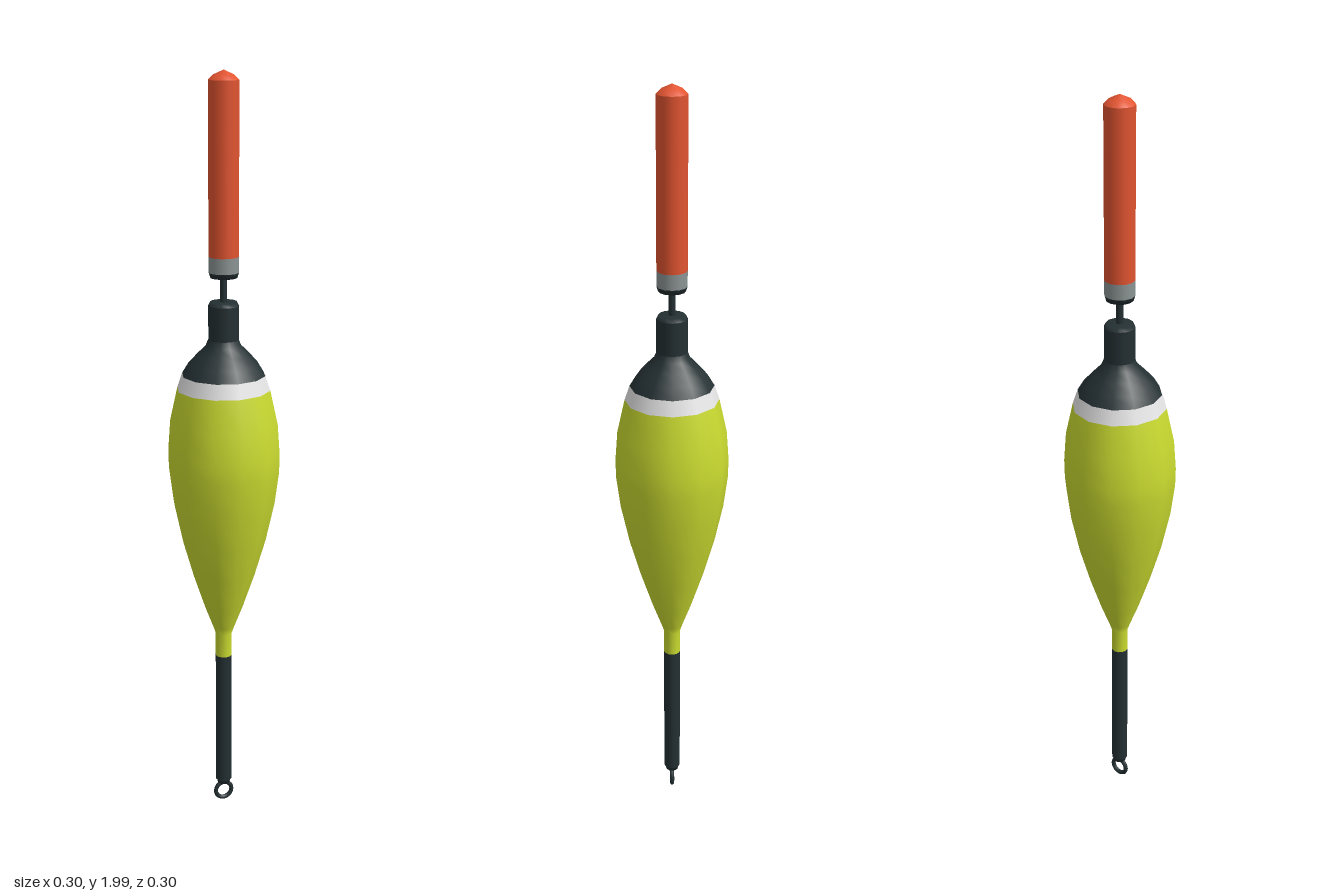
import * as THREE from 'three';

const SIDES = 12;

export function createModel() {
  const group = new THREE.Group();
  group.name = 'fishingFloat';

  const paint = (name, color) => {
    const m = new THREE.MeshStandardMaterial({ color });
    m.name = name;
    return m;
  };
  const yellow = paint('yellow', 0xcbdc30);
  const black = paint('charcoal', 0x243033);
  const white = paint('white', 0xe6e6e6);
  const grey = paint('grey', 0x8c9494);
  const orange = paint('orange', 0xe25430);

  const add = (name, geometry, material) => {
    const mesh = new THREE.Mesh(geometry, material);
    mesh.name = name;
    group.add(mesh);
    return mesh;
  };
  // Turned part from [radius, height] pairs, bottom to top
  const turned = (name, material, profile) =>
    add(name, new THREE.LatheGeometry(profile.map(([r, y]) => new THREE.Vector2(r, y)), SIDES), material);

  // Line eye at the foot, in the x-y plane
  const eye = add('lineEye', new THREE.TorusGeometry(0.023, 0.006, 8, 20), black);
  eye.position.y = 0.035;

  // Lower stem
  turned('stem', black, [[0, 0.06], [0.017, 0.06], [0.018, 0.07], [0.022, 0.073], [0.022, 0.45]]);

  // Pear-shaped body with painted bands
  turned('body', yellow, [
    [0.022, 0.45], [0.022, 0.515], [0.029, 0.535], [0.052, 0.595], [0.084, 0.69],
    [0.113, 0.79], [0.136, 0.895], [0.147, 0.98], [0.148, 1.03], [0.142, 1.11], [0.122, 1.2],
  ]);
  turned('bodyBand', white, [[0.122, 1.2], [0.109, 1.238]]);
  turned('shoulder', black, [
    [0.109, 1.238], [0.092, 1.266], [0.068, 1.292], [0.047, 1.313], [0.04, 1.33],
  ]);
  turned('neck', black, [[0.04, 1.33], [0.04, 1.418]]);
  turned('neckTop', black, [[0.04, 1.418], [0.035, 1.428], [0, 1.428]]);

  // Thin rod carrying the tip
  turned('rod', black, [[0.009, 1.42], [0.009, 1.5]]);

  // Signal tip
  turned('tipBase', black, [[0, 1.49], [0.035, 1.49], [0.039, 1.503]]);
  turned('tipBand', grey, [[0.039, 1.503], [0.039, 1.543]]);
  turned('tip', orange, [[0.039, 1.543], [0.039, 1.976]]);
  turned('tipCap', orange, [[0.039, 1.976], [0.027, 1.988], [0, 2.0]]);

  return group;
}
